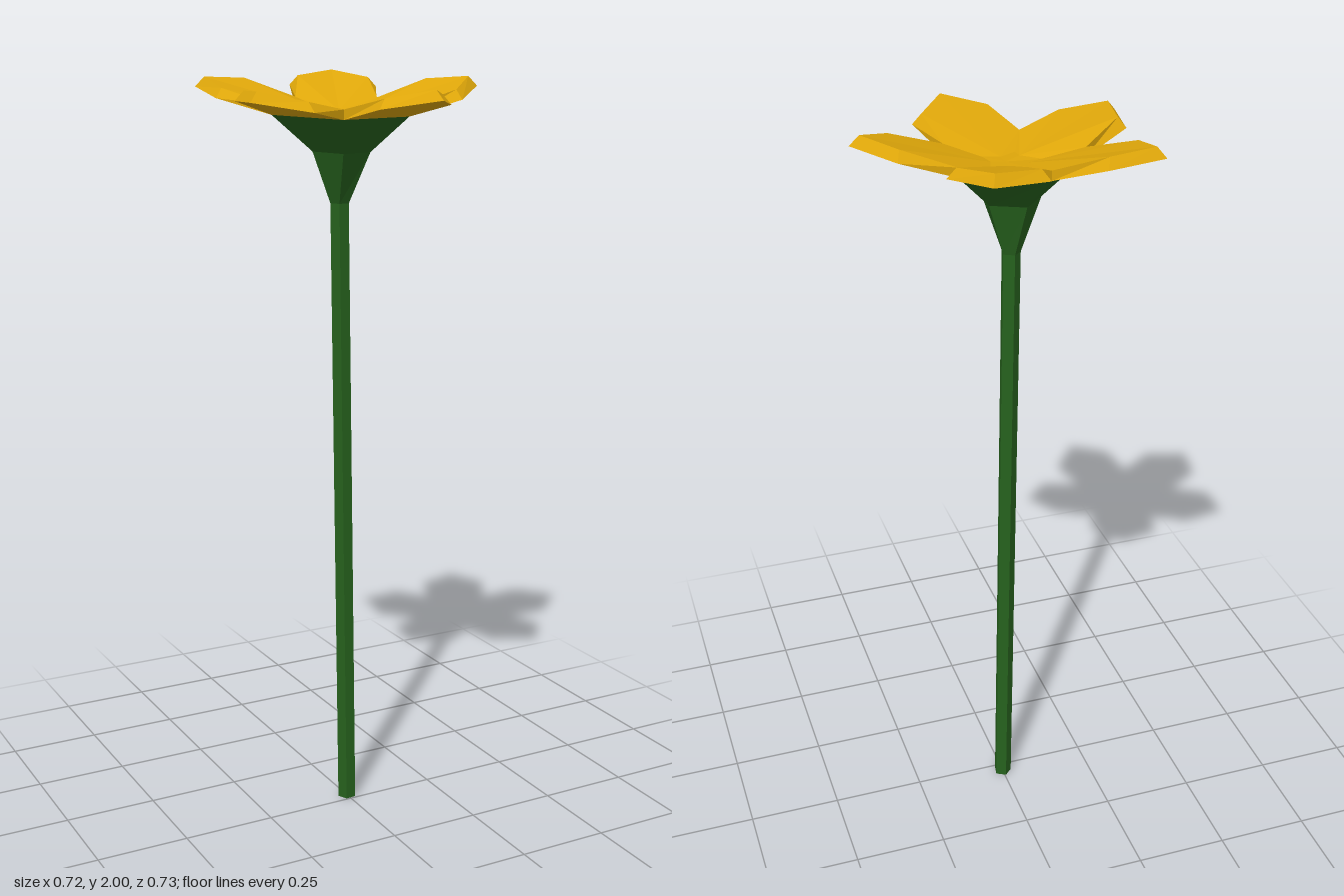
import * as THREE from 'three';

const gold = new THREE.MeshStandardMaterial({ color: 0xdfa70a, flatShading: true });
gold.name = 'petalGold';
const green = new THREE.MeshStandardMaterial({ color: 0x26611d, flatShading: true });
green.name = 'stemGreen';

// Mesh from loose triangles, each a list of three [x, y, z] corners
function triMesh(name, tris, material) {
  const geo = new THREE.BufferGeometry();
  geo.setAttribute('position', new THREE.Float32BufferAttribute(tris.flat(2), 3));
  geo.computeVertexNormals();
  const mesh = new THREE.Mesh(geo, material);
  mesh.name = name;
  return mesh;
}

// Five notches between petals, counter-clockwise seen from above
const notches = [[-0.1, 1.887, 0.15], [0.11, 1.89, 0.105], [0.135, 1.907, -0.107],
  [-0.06, 1.909, -0.197], [-0.205, 1.895, -0.037]];
// Where each fold between petals meets the shallow centre
const folds = [[-0.055, 1.895, 0.05], [0.033, 1.898, 0.033], [0.04, 1.903, -0.055],
  [-0.04, 1.907, -0.09], [-0.1, 1.898, -0.026]];
const middle = [-0.01, 1.898, -0.015];
// Petal root on the centre, and the three outer corners of its underside
const petals = [
  { name: 'frontPetal', root: [-0.01, 1.896, 0.025],
    rim: [[-0.08, 1.915, 0.292], [0.053, 1.936, 0.363], [0.148, 1.922, 0.243]] },
  { name: 'leftPetal', root: [0.025, 1.899, -0.008],
    rim: [[0.25, 1.93, 0.13], [0.358, 1.962, 0.028], [0.275, 1.955, -0.1]] },
  { name: 'backPetal', root: [-0.005, 1.902, -0.055],
    rim: [[0.2, 1.957, -0.232], [0.133, 1.976, -0.366], [-0.012, 1.962, -0.33]] },
  { name: 'backRightPetal', root: [-0.055, 1.901, -0.045],
    rim: [[-0.16, 1.957, -0.297], [-0.31, 1.961, -0.275], [-0.317, 1.935, -0.125]] },
  { name: 'rightPetal', root: [-0.055, 1.898, 0.015],
    rim: [[-0.333, 1.932, 0.025], [-0.36, 1.932, 0.176], [-0.218, 1.908, 0.228]] },
];
const THICK = 0.025;
const INSET = 0.81;

function buildPetal({ name, root, rim }, i) {
  const j = (i + 1) % 5;
  const low = [notches[i], ...rim, notches[j]];
  const cx = low.reduce((s, p) => s + p[0], 0) / 5;
  const cz = low.reduce((s, p) => s + p[2], 0) / 5;
  // Upper outline is raised and drawn in, but meets its neighbours at the notches
  const high = low.map(([x, y, z], k) => {
    const s = k === 0 || k === 4 ? 1 : INSET;
    return [cx + (x - cx) * s, y + THICK, cz + (z - cz) * s];
  });
  const tris = [];
  // Upper face, running in to the fold points and the middle
  const upper = [folds[i], ...high, folds[j]];
  for (let k = 0; k < upper.length - 1; k++) tris.push([root, upper[k], upper[k + 1]]);
  tris.push([middle, folds[i], root], [middle, root, folds[j]]);
  for (let k = 0; k < 4; k++) {
    // Edge walls
    tris.push([low[k], low[k + 1], high[k + 1]], [low[k], high[k + 1], high[k]]);
    // Underside
    if (k > 0) tris.push([low[0], low[k + 1], low[k]]);
  }
  return triMesh(name, tris, gold);
}

// Five-sided skin through a stack of rings, lowest first
function loft(rings) {
  const tris = [];
  for (let r = 0; r < rings.length - 1; r++) {
    for (let k = 0; k < 5; k++) {
      const n = (k + 1) % 5;
      const [a, b, c, d] = [rings[r][k], rings[r][n], rings[r + 1][n], rings[r + 1][k]];
      tris.push([a, b, c], [a, c, d]);
    }
  }
  return tris;
}

// Regular ring with corners turned towards the notches
function stemRing(x, y, z, radius) {
  return notches.map((_, k) => {
    const a = -0.5 + k * Math.PI * 0.4;
    return [x + Math.sin(a) * radius, y, z + Math.cos(a) * radius];
  });
}

export function createModel() {
  const model = new THREE.Group();
  model.name = 'flower';

  const blossom = new THREE.Group();
  blossom.name = 'blossom';
  petals.forEach((p, i) => blossom.add(buildPetal(p, i)));
  model.add(blossom);

  // Flared cup beneath the petals
  const neck = stemRing(-0.02, 1.67, -0.025, 0.025);
  const waist = notches.map(([x, y, z]) =>
    [-0.022 + (x + 0.022) * 0.42, 1.805 + (y - 1.9) * 0.4, -0.01 + (z + 0.01) * 0.45]);
  model.add(triMesh('cup', loft([neck, waist, notches]), green));

  // Slightly leaning stem with a closed foot
  const foot = stemRing(0, 0, -0.025, 0.025);
  const stem = loft([foot, neck]);
  for (let k = 1; k < 4; k++) stem.push([foot[0], foot[k + 1], foot[k]]);
  model.add(triMesh('stem', stem, green));

  return model;
}
